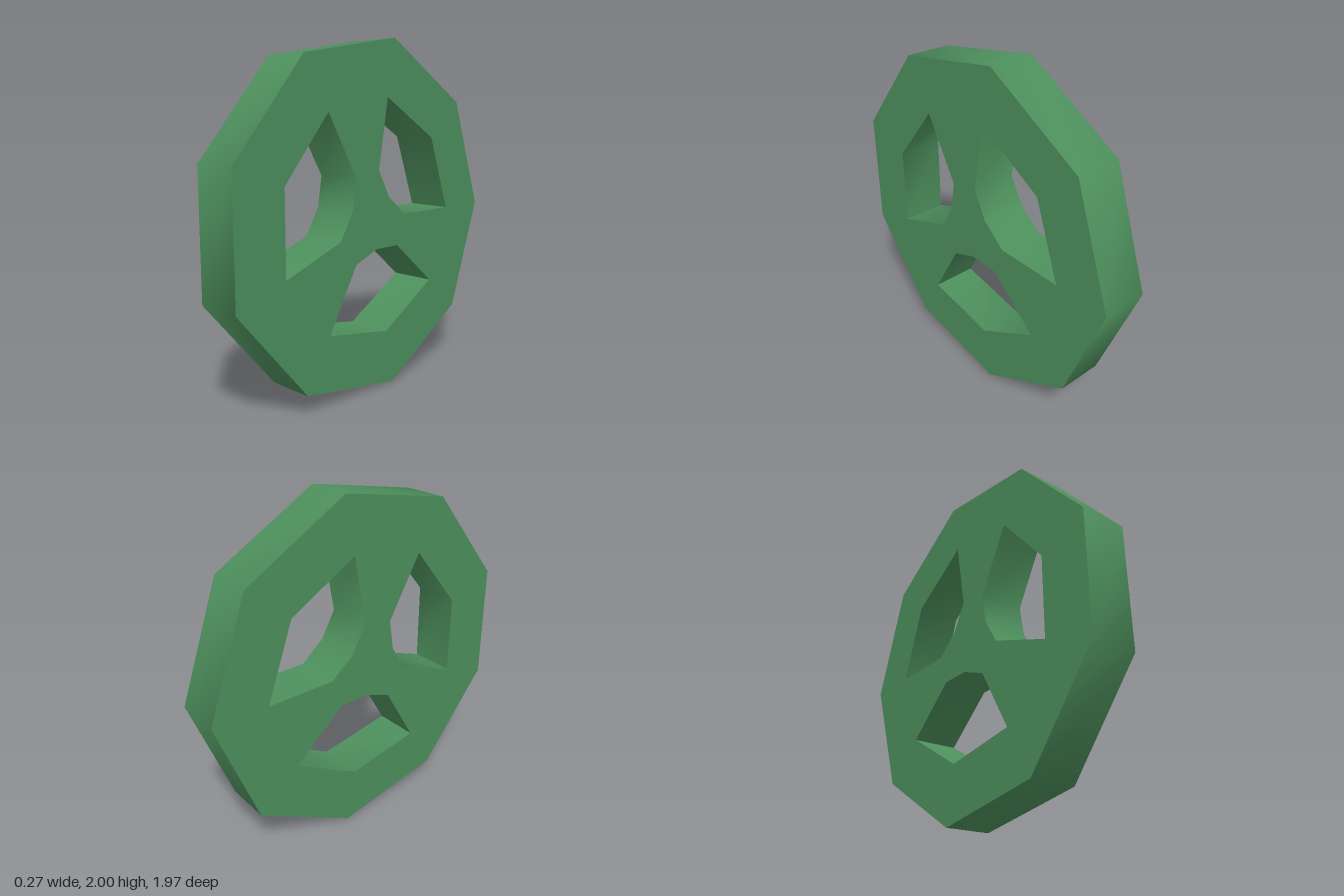
import * as THREE from 'three';
import { toCreasedNormals } from 'three/addons/utils/BufferGeometryUtils.js';

const RADIUS = 1.0154, WIDTH = 0.27;
const polar = (r, deg) => {
  const a = THREE.MathUtils.degToRad(deg);
  return new THREE.Vector2(r * Math.cos(a), r * Math.sin(a));
};

export function createModel() {
  const group = new THREE.Group();

  // nine-sided rim outline
  const outline = new THREE.Shape(
    Array.from({ length: 9 }, (_, i) => polar(RADIUS, i * 40)));

  // three openings, leaving three spokes and a small hub
  for (let i = 0; i < 3; i++) {
    const a = i * 120;
    outline.holes.push(new THREE.Path([
      polar(0.685, a), polar(0.275, a), polar(0.177, a + 40),
      polar(0.275, a + 80), polar(0.685, a + 80), polar(0.685, a + 40),
    ]));
  }

  // extrude along the axle; the rim stays smooth, the sides flat
  const extruded = new THREE.ExtrudeGeometry(outline, { depth: WIDTH, bevelEnabled: false });
  extruded.translate(0, 0, -WIDTH / 2);
  extruded.rotateY(Math.PI / 2);
  const geometry = toCreasedNormals(extruded, THREE.MathUtils.degToRad(45));

  const wheel = new THREE.Mesh(geometry, new THREE.MeshStandardMaterial({ color: 0x4d8f5c }));
  wheel.name = 'wheel';
  wheel.position.set(0, 1, 0.03);
  group.add(wheel);
  return group;
}
